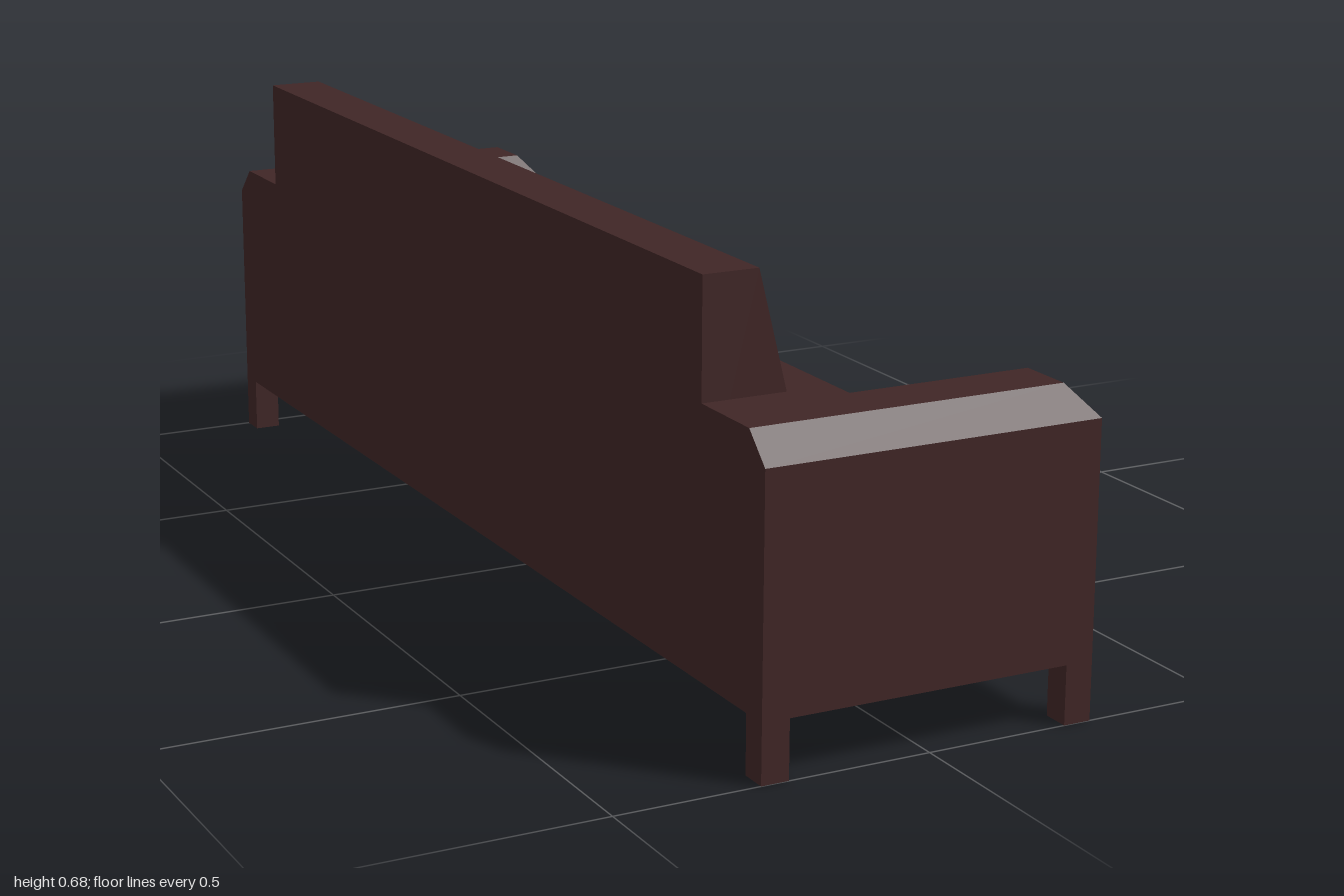
import * as THREE from 'three';

const HALF_X = 0.272;   // half depth; the seat opens toward +x
const SEAT_Y = 0.32;
const BASE_Y = 0.092;
const ARM_Y = 0.5;
const ARM_IN = 0.82;    // inner side of the armrests
const BEVEL = 0.045;

export function createModel() {
  const leather = new THREE.MeshStandardMaterial({ color: 0x402626 });
  leather.name = 'dark brown leather';
  const sofa = new THREE.Group();
  sofa.name = 'sofa';

  const add = (name, geometry, x = 0, y = 0, z = 0) => {
    const mesh = new THREE.Mesh(geometry, leather);
    mesh.name = name;
    mesh.position.set(x, y, z);
    sofa.add(mesh);
  };

  // Side profile in x/y, extruded along z
  const extrude = (points, depth) => new THREE.ExtrudeGeometry(
    new THREE.Shape(points.map(([x, y]) => new THREE.Vector2(x, y))),
    { depth, bevelEnabled: false });

  // Armrest block, bevelled on the outer, inner and front top edges
  const armGeometry = () => {
    const width = 1 - ARM_IN;
    const box = new THREE.BoxGeometry(2 * HALF_X, 1, width, 1, 2, 1);
    const p = box.attributes.position;
    for (let i = 0; i < p.count; i++) {
      const level = p.getY(i);
      if (level > 0.25) {
        p.setZ(i, Math.sign(p.getZ(i)) * (width / 2 - BEVEL));
        if (p.getX(i) > 0) p.setX(i, HALF_X - 0.036);
      }
      p.setY(i, level > 0.25 ? ARM_Y : level > -0.25 ? ARM_Y - BEVEL : SEAT_Y);
    }
    const flat = box.toNonIndexed();
    flat.computeVertexNormals();
    return flat;
  };

  // Seat base across the full length
  add('seatBase', new THREE.BoxGeometry(2 * HALF_X, SEAT_Y - BASE_Y, 2),
    0, (SEAT_Y + BASE_Y) / 2, 0);

  // Backrest with a sloping front
  add('backrest', extrude([
    [-HALF_X, SEAT_Y], [-0.091, SEAT_Y], [-0.183, 0.683], [-HALF_X, 0.683],
  ], 2 * ARM_IN), 0, 0, -ARM_IN);

  for (const side of [1, -1]) {
    const label = side > 0 ? 'left' : 'right';
    add(label + 'Armrest', armGeometry(), 0, 0, side * (1 + ARM_IN) / 2);

    // Fills the inner bevel where the armrest meets the backrest
    add(label + 'BackCorner', extrude([
      [-HALF_X, SEAT_Y], [-0.091, SEAT_Y], [-0.137, ARM_Y], [-HALF_X, ARM_Y],
    ], BEVEL), 0, 0, side > 0 ? ARM_IN : -ARM_IN - BEVEL);

    // Square legs at the outer corners
    for (const end of [1, -1]) {
      add(label + (end > 0 ? 'FrontLeg' : 'BackLeg'),
        new THREE.BoxGeometry(0.044, BASE_Y, 0.044),
        end * (HALF_X - 0.022), BASE_Y / 2, side * 0.978);
    }
  }
  return sofa;
}
